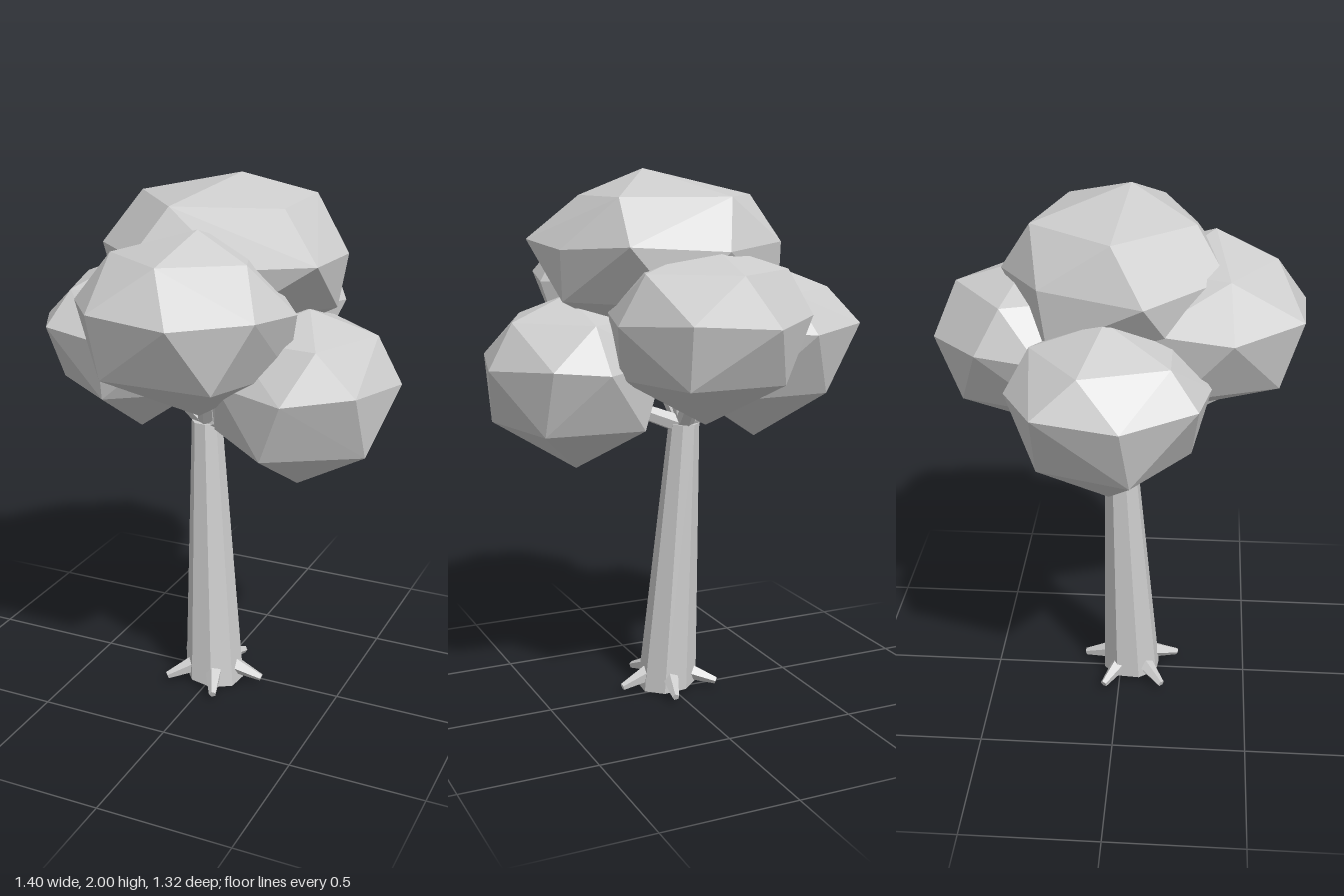
import * as THREE from 'three';
import { ConvexGeometry } from 'three/addons/geometries/ConvexGeometry.js';

const grey = new THREE.MeshStandardMaterial({ color: 0xcccccc, flatShading: true });
grey.name = 'plain grey';

const v = (x, y, z) => new THREE.Vector3(x, y, z);

function part(name, geometry) {
  const mesh = new THREE.Mesh(geometry, grey);
  mesh.name = name;
  return mesh;
}

// Tapered faceted limb between two points
function limb(name, from, to, r0, r1, sides) {
  const dir = to.clone().sub(from);
  const mesh = part(name, new THREE.CylinderGeometry(r1, r0, dir.length(), sides));
  mesh.position.copy(from).add(to).multiplyScalar(0.5);
  mesh.quaternion.setFromUnitVectors(v(0, 1, 0), dir.normalize());
  return mesh;
}

// Faceted foliage: flattish top, wide middle outline, pointed bottom.
// upper and lower are [height, scale] of staggered five-point rings, phase in degrees.
function foliage({ name, outline, mid, top, upper, lower, bottom, phase }) {
  const xs = outline.map(p => p[0]), zs = outline.map(p => p[1]);
  const x0 = Math.min(...xs), x1 = Math.max(...xs);
  const z0 = Math.min(...zs), z1 = Math.max(...zs);
  const points = [v(...top), v(...bottom)];
  outline.forEach(([x, z], i) => points.push(v(x, mid + (i % 2 ? 0.015 : -0.005), z)));
  [[upper, phase], [lower, phase + 36]].forEach(([[y, s], turn]) => {
    for (let i = 0; i < 5; i++) {
      const a = (turn + i * 72) * Math.PI / 180;
      points.push(v((x0 + x1) / 2 + Math.cos(a) * s * (x1 - x0) / 2, y,
        (z0 + z1) / 2 + Math.sin(a) * s * (z1 - z0) / 2));
    }
  });
  return part(name, new ConvexGeometry(points));
}

const clumps = [
  { name: 'topFoliage', mid: 1.73, top: [0.1, 2, 0.03], bottom: [0.03, 1.33, 0],
    upper: [1.905, 0.76], lower: [1.54, 0.93], phase: 34,
    outline: [[-0.42, 0.1], [-0.31, -0.26], [-0.03, -0.42], [0.31, -0.35],
      [0.46, -0.08], [0.47, 0.26], [0.2, 0.34], [-0.16, 0.37]] },
  { name: 'frontFoliage', mid: 1.59, top: [0.07, 1.85, 0.33], bottom: [0.05, 1.18, 0.28],
    upper: [1.76, 0.68], lower: [1.36, 0.9], phase: 18,
    outline: [[-0.37, 0.4], [-0.19, 0.64], [0.11, 0.66], [0.36, 0.52],
      [0.41, 0.28], [0.22, 0], [-0.1, -0.04], [-0.33, 0.1]] },
  { name: 'rightFoliage', mid: 1.42, top: [-0.36, 1.66, -0.03], bottom: [-0.34, 0.99, -0.02],
    upper: [1.56, 0.76], lower: [1.18, 0.82], phase: 54,
    outline: [[-0.7, 0.04], [-0.66, -0.25], [-0.41, -0.37], [-0.14, -0.3],
      [0, -0.05], [-0.06, 0.2], [-0.33, 0.33], [-0.56, 0.29]] },
  { name: 'leftFoliage', mid: 1.31, top: [0.38, 1.555, 0.08], bottom: [0.35, 0.905, 0.09],
    upper: [1.47, 0.76], lower: [1.085, 0.89], phase: 59,
    outline: [[0.7, 0.01], [0.63, 0.3], [0.41, 0.43], [0.15, 0.36],
      [0, 0.1], [0.1, -0.16], [0.35, -0.28], [0.55, -0.25]] },
  { name: 'backFoliage', mid: 1.49, top: [0, 1.75, -0.32], bottom: [0, 1.11, -0.29],
    upper: [1.66, 0.8], lower: [1.28, 0.86], phase: 54,
    outline: [[-0.1, -0.66], [0.2, -0.61], [0.36, -0.36], [0.3, -0.12],
      [0.08, 0.04], [-0.18, 0], [-0.35, -0.25], [-0.32, -0.48]] },
];

export function createModel() {
  const tree = new THREE.Group();
  tree.name = 'tree';

  // Leaning eight-sided trunk: shear a tapered cylinder toward its top
  const height = 1.06;
  const trunk = new THREE.CylinderGeometry(0.058, 0.114, height, 8);
  trunk.rotateY(0.3).translate(0, height / 2, 0);
  const pos = trunk.attributes.position;
  for (let i = 0; i < pos.count; i++) {
    const t = pos.getY(i) / height;
    pos.setX(i, pos.getX(i) - 0.052 * t);
    pos.setZ(i, pos.getZ(i) + 0.045 * (1 - t));
    pos.setY(i, Math.max(pos.getY(i), 0.012 - 0.1 * pos.getX(i)));
  }
  trunk.computeVertexNormals();
  tree.add(part('trunk', trunk));

  // Five short roots around the base
  for (let i = 0; i < 5; i++) {
    const a = (-4 + 72 * i) * Math.PI / 180;
    const at = (r, y) => v(Math.cos(a) * r, y, 0.045 + Math.sin(a) * r);
    tree.add(limb('root', at(0.07, 0.068), at(0.195, 0.027), 0.036, 0.014, 5));
  }

  // Branches reaching into the foliage
  const fork = v(-0.05, 1.05, 0);
  [[-0.28, 1.23, -0.02], [0.25, 1.17, 0.07], [0.03, 1.36, 0.2],
    [-0.02, 1.28, -0.22], [0, 1.5, 0]].forEach(p =>
    tree.add(limb('branch', fork, v(...p), 0.036, 0.026, 6)));

  clumps.forEach(c => tree.add(foliage(c)));
  return tree;
}
